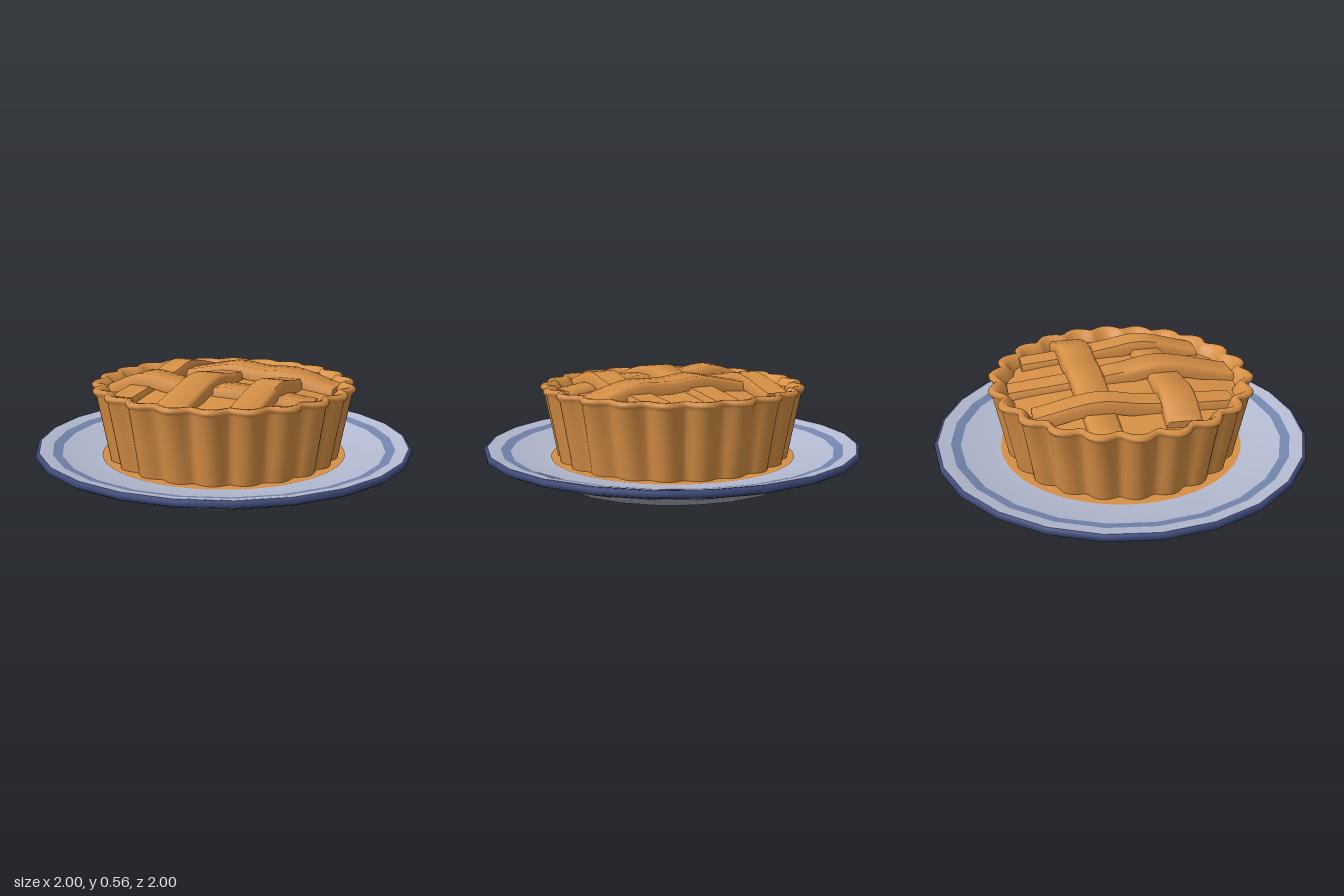
import * as THREE from 'three';
import { mergeVertices, toCreasedNormals } from 'three/addons/utils/BufferGeometryUtils.js';

const mat = (name, color) => Object.assign(new THREE.MeshStandardMaterial({ color }), { name });

// Surface of revolution from [radius, height] pairs
const lathe = (points, segments) =>
  new THREE.LatheGeometry(points.map(([r, y]) => new THREE.Vector2(r, y)), segments);

// Fluted pie wall: each ring is pulled inward between the scallops
function flutedWall() {
  const profile = [ // radius at scallop peak, height, scallop depth
    [0.615, 0.08, 0.035], [0.65, 0.27, 0.045], [0.683, 0.445, 0.052], [0.7, 0.462, 0.055],
    [0.702, 0.476, 0.055], [0.688, 0.488, 0.053], [0.665, 0.486, 0.048],
    [0.64, 0.466, 0.04], [0.61, 0.435, 0.025], [0.59, 0.4, 0.01],
  ];
  const geo = lathe(profile, 176);
  const pos = geo.attributes.position;
  for (let i = 0; i < pos.count; i++) {
    const x = pos.getX(i), z = pos.getZ(i);
    const [r, , depth] = profile[i % profile.length];
    const flute = Math.abs(Math.cos(11 * (Math.atan2(z, x) - 0.05)));
    const k = (r - depth * (1 - flute)) / r;
    pos.setXYZ(i, x * k, pos.getY(i), z * k);
  }
  geo.deleteAttribute('normal');
  geo.deleteAttribute('uv');
  const merged = mergeVertices(geo, 1e-4);
  merged.computeVertexNormals();
  return merged;
}

// Pastry strip with bevelled edges, swept along a path of its top centre line
function strip(path, startWidth, endWidth) {
  const section = [[-1, -0.065], [-1, -0.02], [-0.84, 0], [0.84, 0], [1, -0.02], [1, -0.065]];
  const curve = new THREE.CatmullRomCurve3(path.map((p) => new THREE.Vector3(...p)));
  const rows = 28, n = section.length;
  const verts = [], index = [];
  const up = new THREE.Vector3(0, 1, 0);
  for (let i = 0; i <= rows; i++) {
    const t = i / rows;
    const c = curve.getPoint(t);
    const side = curve.getTangent(t).cross(up).normalize();
    const half = THREE.MathUtils.lerp(startWidth, endWidth, t) / 2;
    for (const [u, v] of section) verts.push(c.x + side.x * u * half, c.y + v, c.z + side.z * u * half);
  }
  for (let i = 0; i < rows; i++) {
    for (let j = 0; j < n; j++) {
      const a = i * n + j, b = i * n + (j + 1) % n;
      index.push(a, b, a + n, b, b + n, a + n);
    }
  }
  const last = rows * n;
  for (let j = 1; j < n - 1; j++) {
    index.push(0, j + 1, j, last, last + j, last + j + 1);
  }
  const geo = new THREE.BufferGeometry();
  geo.setAttribute('position', new THREE.Float32BufferAttribute(verts, 3));
  geo.setIndex(index);
  return toCreasedNormals(geo, 1.0);
}

export function createModel() {
  const crust = mat('bakedCrust', 0xd68f45);
  const glaze = mat('plateGlaze', 0xb4bad0);
  const under = mat('plateUnderside', 0xa9acb8);
  const stripe = mat('plateStripe', 0x7385ad);
  const navy = mat('plateRim', 0x3c4a78);

  const model = new THREE.Group();
  const add = (parent, name, geo, material) => {
    const mesh = new THREE.Mesh(geo, material);
    mesh.name = name;
    parent.add(mesh);
  };

  // Plate, split into coloured bands from the foot round to the top
  const plate = new THREE.Group();
  plate.name = 'plate';
  const bands = [
    ['plateBase', under, [[0, 0], [0.64, 0], [0.67, 0.004], [0.78, 0.06], [0.885, 0.096]]],
    ['undersideStripe', stripe, [[0.885, 0.096], [0.915, 0.106]]],
    ['plateOuterUnderside', under, [[0.915, 0.106], [0.985, 0.13]]],
    ['plateRim', navy, [[0.985, 0.13], [1, 0.14], [1, 0.158], [0.992, 0.168], [0.982, 0.168]]],
    ['plateLip', glaze, [[0.982, 0.168], [0.965, 0.165], [0.915, 0.153]]],
    ['topStripe', stripe, [[0.915, 0.153], [0.865, 0.1405]]],
    ['plateWell', glaze, [[0.865, 0.1405], [0.7, 0.1], [0.6, 0.095], [0, 0.095]]],
  ];
  for (const [name, material, points] of bands) add(plate, name, lathe(points, 24), material);
  // Crumb ring on the plate around the pie
  add(plate, 'crumbRing', lathe([[0.655, 0.101], [0.55, 0.099]], 48), crust);
  model.add(plate);

  // Pie shell and domed filling crust
  const pie = new THREE.Group();
  pie.name = 'pie';
  add(pie, 'flutedShell', flutedWall(), crust);
  const dome = [];
  for (let i = 0; i <= 8; i++) {
    const r = 0.61 * (1 - i / 8);
    dome.push([r, 0.478 - 0.14 * r * r]);
  }
  add(pie, 'topCrust', lathe(dome, 48), crust);

  // Woven lattice: high where a strip passes over, low where it passes under
  const over = 0.552, below = 0.507;
  const strips = [
    ['leftStrip', 0.14, 0.14,
      [[-0.35, 0.475, -0.5], [-0.355, 0.54, -0.18], [-0.35, 0.51, 0.02], [-0.34, 0.49, 0.2], [-0.31, 0.465, 0.51]]],
    ['middleStrip', 0.14, 0.18,
      [[-0.03, 0.465, -0.6], [-0.025, below, -0.2], [-0.01, 0.53, 0], [0, over + 0.003, 0.21], [0.015, 0.465, 0.6]]],
    ['rightStrip', 0.14, 0.16,
      [[0.3, 0.47, -0.51], [0.32, 0.492, -0.22], [0.335, 0.52, -0.02], [0.34, 0.543, 0.17], [0.345, 0.465, 0.49]]],
    ['backStrip', 0.16, 0.2,
      [[-0.58, 0.455, -0.17], [-0.35, 0.49, -0.18], [-0.15, 0.53, -0.19], [-0.02, over, -0.2],
        [0.15, 0.535, -0.205], [0.32, 0.535, -0.21], [0.56, 0.465, -0.225]]],
    ['frontStrip', 0.18, 0.16,
      [[-0.54, 0.465, 0.21], [-0.34, 0.542, 0.215], [-0.17, 0.522, 0.215], [0, below, 0.21],
        [0.17, 0.512, 0.2], [0.34, 0.492, 0.175], [0.57, 0.46, 0.135]]],
  ];
  for (const [name, w0, w1, path] of strips) add(pie, name, strip(path, w0, w1), crust);
  model.add(pie);

  return model;
}
